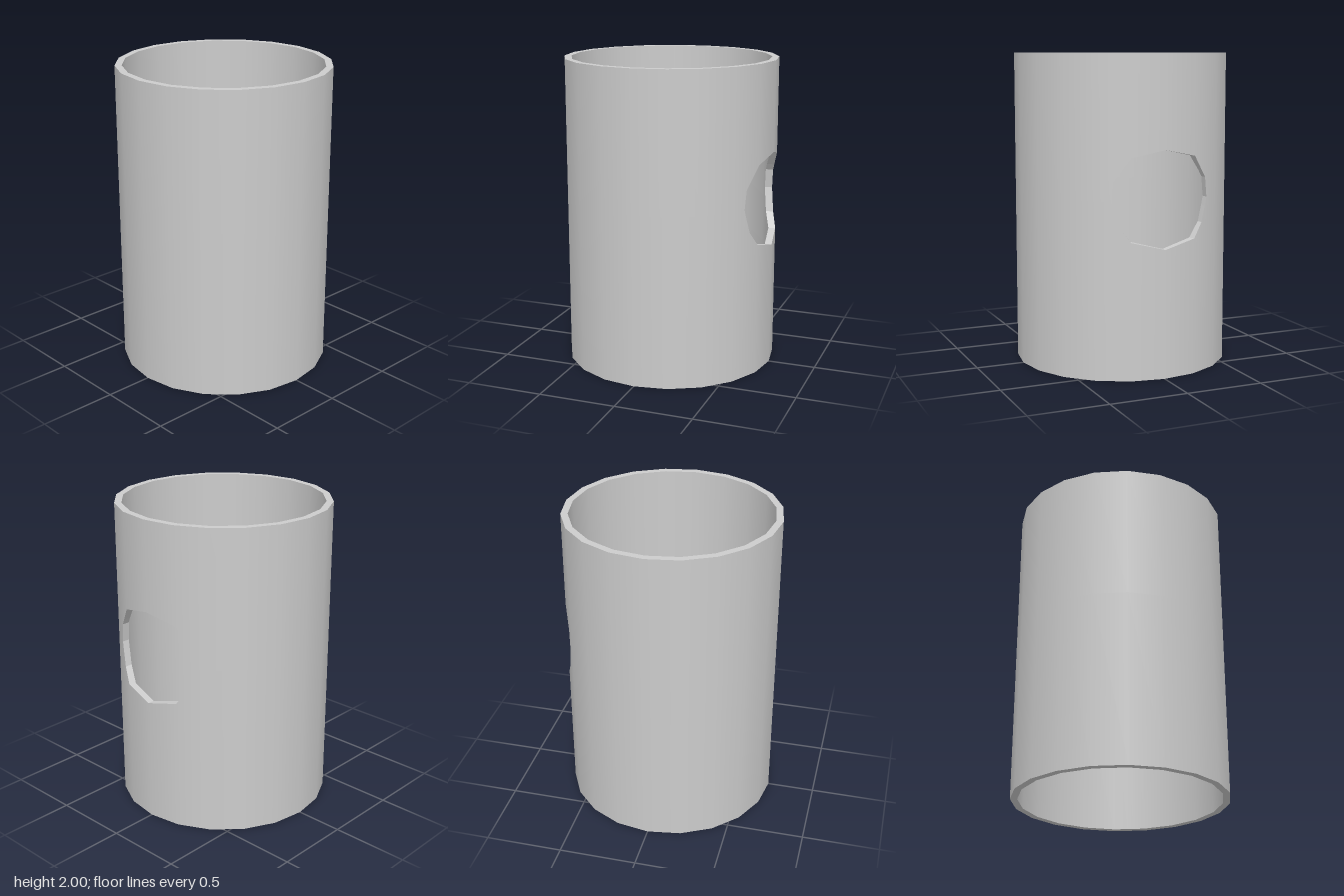
import * as THREE from 'three';

const SIDES = 20, OUTER = 0.69, INNER = 0.645, HEIGHT = 2, MID = 1.11;

// Round side opening: [z, lower y, upper y], mirrored about z = 0
const OPENING = [[0, 0.81, 1.42], [0.213, 0.862, 1.375], [0.28, 0.955, 1.278], [0.31, 1.055, 1.235], [0.325, MID, MID]];

// Point on the faceted ring of the given radius, at a ring corner
const corner = (r, k) => {
  const a = (k / SIDES) * Math.PI * 2;
  return [r * Math.cos(a), r * Math.sin(a)];
};

// Point on the second facet from the +x corner, at a given z
function onFacet(r, z) {
  const [x1, z1] = corner(r, 1), [x2, z2] = corner(r, 2);
  return [x1 + ((x2 - x1) * (z - z1)) / (z2 - z1), z];
}

// Vertical columns round the wall; lo and hi bound the opening
function makeColumns() {
  const half = OPENING.map(([z, lo, hi], i) => ({
    outer: i < 2 ? corner(OUTER, i) : onFacet(OUTER, z),
    inner: i < 2 ? corner(INNER, i) : onFacet(INNER, z),
    lo, hi,
  }));
  const mirrored = half.slice(1).reverse().map((c) => ({
    ...c, outer: [c.outer[0], -c.outer[1]], inner: [c.inner[0], -c.inner[1]],
  }));
  const plain = [];
  for (let k = 2; k <= SIDES - 2; k++) {
    plain.push({ outer: corner(OUTER, k), inner: corner(INNER, k), lo: MID, hi: MID });
  }
  return [...half, ...plain, ...mirrored];
}

function makeWall() {
  const pos = [], nor = [];
  const at = ([x, z], y) => new THREE.Vector3(x, y, z);

  // Quad with smooth radial normals (sign 1 out, -1 in) or a flat normal (sign 0)
  function quad(a, b, c, d, sign) {
    const flat = new THREE.Vector3().subVectors(c, a).cross(new THREE.Vector3().subVectors(d, b)).normalize();
    for (const p of [a, b, c, a, c, d]) {
      const n = sign ? new THREE.Vector3(p.x, 0, p.z).normalize().multiplyScalar(sign) : flat;
      pos.push(p.x, p.y, p.z);
      nor.push(n.x, n.y, n.z);
    }
  }

  // Lip joining outer and inner faces, facing up or down
  function lip(p, q, yp, yq, up) {
    const c = [at(p.inner, yp), at(q.inner, yq), at(q.outer, yq), at(p.outer, yp)];
    if (!up) c.reverse();
    quad(...c, 0);
  }

  const columns = makeColumns();
  columns.forEach((p, i) => {
    const q = columns[(i + 1) % columns.length];
    // Wall below and above the opening
    for (const [p0, p1, q0, q1] of [[0, p.lo, 0, q.lo], [p.hi, HEIGHT, q.hi, HEIGHT]]) {
      quad(at(p.outer, p0), at(p.outer, p1), at(q.outer, q1), at(q.outer, q0), 1);
      quad(at(q.inner, q0), at(q.inner, q1), at(p.inner, p1), at(p.inner, p0), -1);
    }
    // End rims
    lip(p, q, 0, 0, false);
    lip(p, q, HEIGHT, HEIGHT, true);
    // Edge of the opening
    if (p.hi > p.lo || q.hi > q.lo) {
      lip(p, q, p.lo, q.lo, true);
      lip(p, q, p.hi, q.hi, false);
    }
  });

  const geometry = new THREE.BufferGeometry();
  geometry.setAttribute('position', new THREE.Float32BufferAttribute(pos, 3));
  geometry.setAttribute('normal', new THREE.Float32BufferAttribute(nor, 3));
  return geometry;
}

export function createModel() {
  const group = new THREE.Group();
  group.name = 'pipeWithSideOpening';
  const wall = new THREE.Mesh(makeWall(), new THREE.MeshStandardMaterial({ color: 0xcccccc }));
  wall.name = 'pipeWall';
  group.add(wall);
  return group;
}
